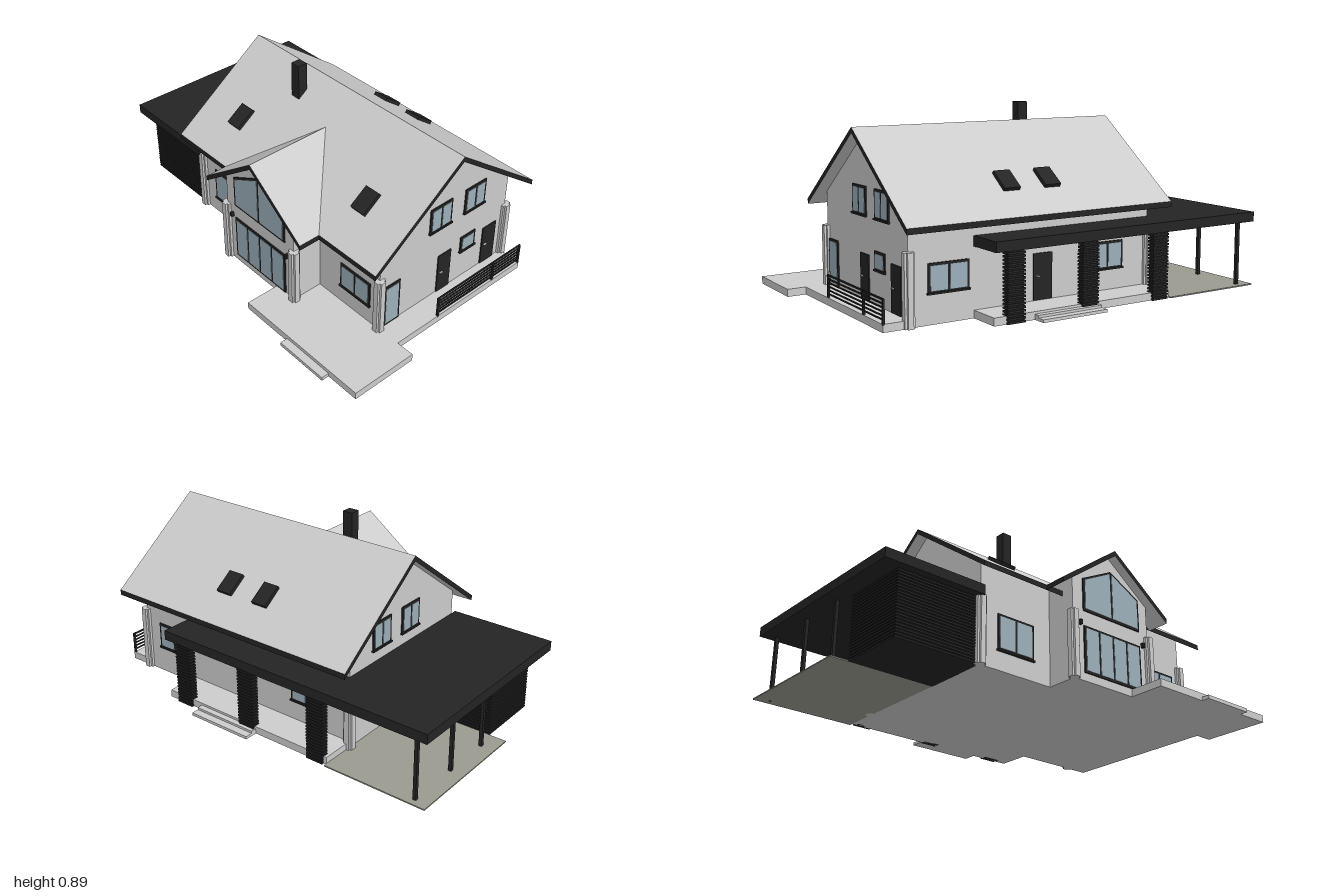
import * as THREE from 'three';

const mat = (name, color, extra = {}) => {
  const m = new THREE.MeshStandardMaterial({ color, ...extra });
  m.name = name;
  return m;
};

export function createModel() {
  const house = new THREE.Group();
  house.name = 'house';
  const light = mat('light grey', 0xcccccc);
  const dark = mat('charcoal', 0x242424);
  const glass = mat('glass', 0x9cafba);
  const paving = mat('paving', 0x9a9a90);

  const add = (name, geo, m, parent = house) => {
    const mesh = new THREE.Mesh(geo, m);
    mesh.name = name;
    parent.add(mesh);
    return mesh;
  };
  // Box given by its limits
  const box = (name, x0, x1, y0, y1, z0, z1, m, parent) => {
    const mesh = add(name, new THREE.BoxGeometry(x1 - x0, y1 - y0, z1 - z0), m, parent);
    mesh.position.set((x0 + x1) / 2, (y0 + y1) / 2, (z0 + z1) / 2);
    return mesh;
  };
  const shape = pts => new THREE.Shape(pts.map(p => new THREE.Vector2(...p)));
  const prism = (pts, depth) => new THREE.ExtrudeGeometry(shape(pts), { depth, bevelEnabled: false });

  // Sloping roof slab: light faces, dark rim
  const slab = (name, corners, t) => {
    let p = corners.map(c => new THREE.Vector3(...c));
    const n = p[1].clone().sub(p[0]).cross(p[2].clone().sub(p[0]));
    if (n.y < 0) p.reverse();
    const q = p.map(v => v.clone().setY(v.y - t));
    const pos = [];
    const quad = (a, b, c, d) => [a, b, c, a, c, d].forEach(v => pos.push(v.x, v.y, v.z));
    quad(...p);
    quad(q[3], q[2], q[1], q[0]);
    for (let i = 0; i < 4; i++) {
      const j = (i + 1) % 4;
      quad(p[i], q[i], q[j], p[j]);
    }
    const g = new THREE.BufferGeometry();
    g.setAttribute('position', new THREE.Float32BufferAttribute(pos, 3));
    g.computeVertexNormals();
    g.addGroup(0, 12, 0);
    g.addGroup(12, 24, 1);
    add(name, g, [light, dark]);
  };

  // Walls: main gabled body and front bay
  const ridgeZ = -0.08, slope = 0.737;
  const wallTop = z => 0.797 - slope * Math.abs(z - ridgeZ);
  const main = add('mainWalls', prism([[-0.335, 0], [0.477, 0], [0.477, wallTop(-0.477)],
    [-ridgeZ, wallTop(ridgeZ)], [-0.335, wallTop(0.335)]], 1.27), light);
  main.rotation.y = Math.PI / 2;
  main.position.x = -0.48;
  const bay = add('bayWalls', prism([[-0.08, 0], [0.4, 0], [0.4, 0.495], [0.16, 0.67], [-0.08, 0.495]], 0.25), light);
  bay.position.z = 0.24;

  // Roofs
  for (const z of [0.425, -0.585])
    slab('mainRoof', [[-0.535, 0.812, ridgeZ], [0.85, 0.812, ridgeZ], [0.85, 0.44, z], [-0.535, 0.44, z]], 0.026);
  for (const s of [-1, 1])
    slab('bayRoof', [[0.16, 0.687, 0.09], [0.16, 0.687, 0.535],
      [0.16 + s * 0.335, 0.44, 0.535], [0.16 + s * 0.335, 0.44, 0.425]], 0.026);
  box('chimney', -0.12, -0.068, 0.7, 0.89, 0.005, 0.055, dark);

  // Roof lights
  for (const [x, z] of [[-0.283, 0.235], [0.587, 0.235], [0.053, -0.41], [0.268, -0.41]]) {
    const r = add('roofLight', new THREE.BoxGeometry(0.083, 0.03, 0.115), dark);
    r.position.set(x, 0.815 - slope * Math.abs(z - ridgeZ), z);
    r.rotation.x = Math.sign(z) * 0.62;
  }

  // Windows and doors: u, y limits in the plane of a wall
  const walls = {
    front: [0, 0.335, 0], bay: [0, 0.49, 0], back: [0, -0.477, Math.PI],
    right: [0.79, 0, Math.PI / 2], left: [-0.48, 0, -Math.PI / 2],
  };
  const opening = (name, wall, u0, u1, y0, y1, panes) => {
    const g = new THREE.Group();
    g.name = name;
    const [x, z, r] = walls[wall];
    g.position.set(x, 0, z);
    g.rotation.y = r;
    house.add(g);
    box('frame', u0, u1, y0, y1, -0.005, 0.006, dark, g);
    if (panes && y0 > 0.06) box('sill', u0 - 0.004, u1 + 0.004, y0 - 0.004, y0 + 0.004, 0, 0.012, dark, g);
    const b = 0.011, w = (u1 - u0 - b) / Math.max(panes, 1);
    for (let i = 0; i < panes; i++)
      box('pane', u0 + b + i * w, u0 + (i + 1) * w, y0 + b, y1 - b, 0, 0.008, glass, g);
    if (!panes) box('handle', u0 + 0.012, u0 + 0.03, 0.145, 0.15, 0, 0.014, light, g);
  };
  opening('frontWindow', 'front', -0.385, -0.18, 0.093, 0.265, 2);
  opening('frontWindow', 'front', 0.545, 0.735, 0.135, 0.265, 2);
  opening('bayDoors', 'bay', -0.018, 0.342, 0.038, 0.265, 4);
  opening('cornerDoor', 'right', -0.31, -0.212, 0.038, 0.262, 1);
  opening('sideDoor', 'right', 0.03, 0.113, 0.038, 0.25, 0);
  opening('sideDoor', 'right', 0.33, 0.42, 0.038, 0.25, 0);
  opening('sideWindow', 'right', 0.175, 0.272, 0.195, 0.28, 1);
  for (const [side, s] of [['right', 1], ['left', -1]])
    for (const [a, b] of [[-0.042, 0.095], [0.18, 0.315]])
      opening('gableWindow', side, Math.min(a * s, b * s), Math.max(a * s, b * s), 0.42, 0.552, 2);
  opening('backWindow', 'back', -0.7, -0.5, 0.135, 0.265, 2);
  opening('backDoor', 'back', -0.17, -0.07, 0.038, 0.25, 0);
  opening('backWindow', 'back', 0.15, 0.33, 0.135, 0.265, 2);

  // Pointed bay window
  const peak = (x0, x1, y0, e0, e1) => [[x0, y0], [x1, y0], [x1, e1], [x0, e0]];
  for (const s of [-1, 1]) {
    const order = pts => (s > 0 ? pts : pts.reverse()).map(([x, y]) => [0.162 + s * x, y]);
    add('gableFrame', prism(order(peak(0, 0.18, 0.338, 0.592, 0.5)), 0.011), dark).position.z = 0.485;
    add('gablePane', prism(order(peak(0.006, 0.169, 0.349, 0.578, 0.494)), 0.008), glass).position.z = 0.49;
    box('wallLamp', 0.16 + s * 0.2 - 0.006, 0.16 + s * 0.2 + 0.006, 0.262, 0.285, 0.49, 0.505, dark);
  }

  // Stepped corner pilasters
  for (const [x, z] of [[-0.48, 0.335], [0.79, 0.335], [-0.48, -0.477], [0.79, -0.477], [-0.08, 0.49], [0.4, 0.49]]) {
    box('pilaster', x - 0.024, x + 0.024, 0, 0.322, z - 0.013, z + 0.013, light);
    box('pilaster', x - 0.013, x + 0.013, 0, 0.322, z - 0.024, z + 0.024, light);
  }

  // Terrace, side walk, porch and steps
  box('terrace', 0.278, 1, 0, 0.036, 0.33, 0.665, light);
  box('terraceStep', 0.555, 0.83, 0, 0.018, 0.665, 0.703, light);
  box('sideWalk', 0.78, 0.91, 0, 0.036, -0.48, 0.33, light);
  box('porch', -0.48, 0.475, 0, 0.036, -0.64, -0.47, light);
  box('porchStep', -0.07, 0.27, 0, 0.025, -0.668, -0.64, light);
  box('porchStep', -0.07, 0.27, 0, 0.014, -0.705, -0.668, light);

  // Railing
  for (const z of [0.075, -0.29, -0.475])
    box('railPost', 0.9, 0.91, 0.03, 0.14, z - 0.005, z + 0.005, dark);
  for (let i = 0; i < 6; i++) {
    const y = 0.05 + i * 0.017;
    box('rail', 0.902, 0.908, y, y + (i === 5 ? 0.008 : 0.006), -0.48, 0.08, dark);
  }

  // Carport: flat roof, floor and posts
  box('carportRoof', -1, -0.48, 0.314, 0.361, -0.657, 0.368, dark);
  box('porchRoof', -0.48, 0.475, 0.314, 0.361, -0.657, -0.47, dark);
  box('carportFloor', -1, -0.48, 0, 0.006, -0.657, 0, paving);
  for (const z of [-0.62, -0.35, -0.1])
    box('carportPost', -0.938, -0.922, 0, 0.32, z - 0.008, z + 0.008, dark);

  // Slatted shed and porch columns
  const slatted = (name, x0, x1, y0, z0, z1, count) => {
    const d = 0.005, pitch = (0.314 - y0) / count;
    box(name, x0 + d, x1 - d, y0, 0.316, z0 + d, z1 - d, dark);
    for (let i = 0; i < count; i++)
      box(name + 'Slat', x0, x1, y0 + i * pitch, y0 + (i + 0.6) * pitch, z0, z1, dark);
  };
  slatted('shed', -0.912, -0.478, 0, 0, 0.333, 22);
  for (const x of [-0.42, -0.02, 0.37])
    slatted('porchColumn', x - 0.045, x + 0.045, 0, -0.652, -0.612, 20);

  return house;
}
